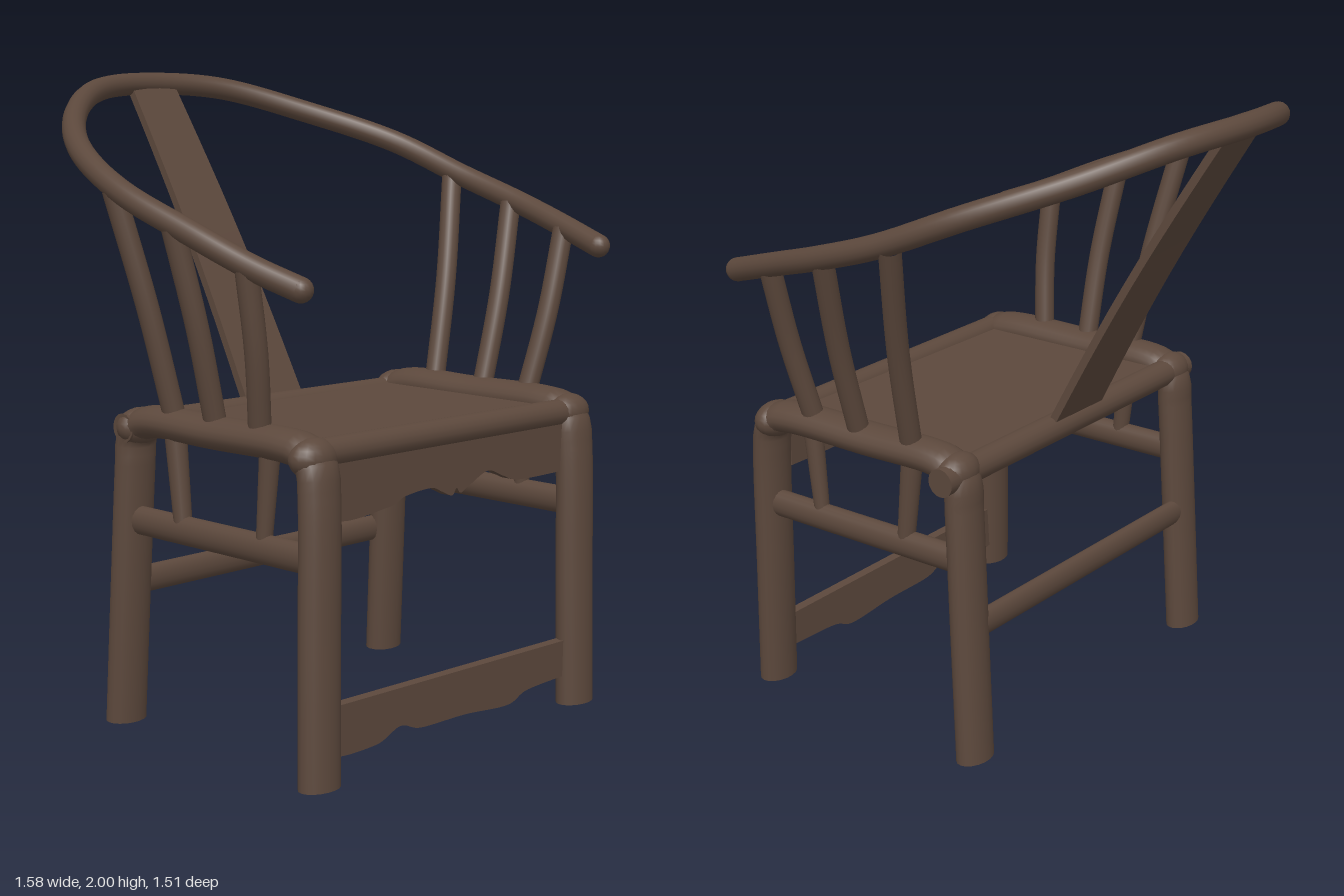
import * as THREE from 'three';

const V = (p) => new THREE.Vector3(...p);

export function createModel() {
  const chair = new THREE.Group();
  chair.name = 'horseshoeArmchair';
  const wood = new THREE.MeshStandardMaterial({ color: 0x5c483c });
  wood.name = 'darkWood';

  const add = (name, geo, parent = chair) => {
    const m = new THREE.Mesh(geo, wood);
    m.name = name;
    parent.add(m);
    return m;
  };
  const curve = (pts) => new THREE.CatmullRomCurve3(pts.map(V), false, 'centripetal');

  // Straight round bar between two points, optionally tapered
  const bar = (name, a, b, r, r2 = r) => {
    const d = V(b).sub(V(a));
    const m = add(name, new THREE.CylinderGeometry(r2, r, d.length(), 16));
    m.position.copy(V(a)).addScaledVector(d, 0.5);
    m.quaternion.setFromUnitVectors(new THREE.Vector3(0, 1, 0), d.normalize());
    return m;
  };

  // Bent side frames: front leg, seat side rail and back leg in one sweep
  const R = 0.05, WIDE = 1.42;
  const frame = (name, cx, xFront, xBack) => {
    const g = new THREE.Group();
    g.name = name;
    g.position.x = cx;
    g.scale.x = WIDE;
    chair.add(g);
    const f = (xFront - cx) / WIDE, b = (xBack - cx) / WIDE;
    const path = [
      [f, 0, 0.705], [f * 0.6, 0.4, 0.69], [f * 0.1, 0.83, 0.672], [0, 0.905, 0.66], [0, 0.945, 0.625],
      [0, 0.957, 0.56], [0, 0.957, 0.25], [0, 0.957, -0.03], [0, 0.94, -0.085], [0, 0.9, -0.118],
      [b * 0.1, 0.82, -0.125], [b * 0.6, 0.4, -0.15], [b, 0, -0.173],
    ];
    add('legsAndRail', new THREE.TubeGeometry(curve(path), 90, R, 18), g);
    for (const p of [path[0], path[path.length - 1]]) {
      const foot = add('footCap', new THREE.CircleGeometry(R, 18), g);
      foot.rotation.x = Math.PI / 2;
      foot.position.set(p[0], 0.001, p[2]);
    }
    // Thicker upper corners
    for (const z of [0.643, -0.1]) {
      const knee = add('cornerKnuckle', new THREE.SphereGeometry(0.058, 18, 12), g);
      knee.position.set(0, 0.935, z);
    }
  };
  frame('rightSideFrame', -0.59, -0.625, -0.6);
  frame('leftSideFrame', 0.555, 0.54, 0.58);

  // Seat panel with front and back rails
  const seat = add('seatPanel', new THREE.BoxGeometry(1.06, 0.035, 0.74));
  seat.position.set(-0.015, 0.94, 0.265);
  bar('frontSeatRail', [-0.62, 0.945, 0.645], [0.6, 0.935, 0.645], 0.043);
  bar('backSeatRail', [-0.655, 0.935, -0.105], [0.645, 0.925, -0.105], 0.045);
  for (const x of [-0.4, 0.37]) {
    const batten = add('seatBatten', new THREE.BoxGeometry(0.05, 0.04, 0.7));
    batten.position.set(x, 0.905, 0.27);
  }

  // Shaped boards between the front legs
  const board = (name, pts, z, depth) => {
    const s = new THREE.Shape(pts.slice(0, 2).map((p) => new THREE.Vector2(...p)));
    s.splineThru(pts.slice(2).map((p) => new THREE.Vector2(...p)));
    const geo = new THREE.ExtrudeGeometry(s, { depth, bevelEnabled: false, curveSegments: 40 });
    geo.translate(0, 0, z);
    add(name, geo);
  };
  board('frontApron', [
    [0.5, 0.94], [-0.54, 0.95], [-0.54, 0.76], [-0.32, 0.757], [-0.24, 0.78], [-0.13, 0.788],
    [-0.08, 0.77], [-0.035, 0.752], [-0.015, 0.772], [0.005, 0.755], [0.05, 0.775], [0.13, 0.805],
    [0.2, 0.78], [0.28, 0.757], [0.5, 0.755],
  ], 0.64, 0.035);
  board('footBoard', [
    [0.52, 0.21], [-0.6, 0.225], [-0.6, 0.09], [-0.4, 0.072], [-0.29, 0.105], [-0.2, 0.08],
    [0, 0.075], [0.2, 0.06], [0.3, 0.088], [0.52, 0.095],
  ], 0.672, 0.035);

  // Stretchers
  const backStretcher = bar('backStretcher', [-0.6, 0.437, -0.16], [0.57, 0.437, -0.16], 0.044);
  backStretcher.scale.z = 0.6;
  for (const [side, x] of [['right', -0.6], ['left', 0.56]]) {
    bar(side + 'Stretcher', [x, 0.645, 0.68], [x, 0.645, -0.13], 0.045).scale.x = 0.75;
    // Short struts from stretcher to seat rail
    bar(side + 'FrontStrut', [x, 0.66, 0.455], [x, 0.93, 0.48], 0.024, 0.031);
    bar(side + 'BackStrut', [x, 0.66, 0.105], [x, 0.93, 0.075], 0.028, 0.034);
  }

  // Sweeping horseshoe arm rail
  const armPts = [
    [-0.615, 1.405, 0.62], [-0.665, 1.46, 0.48], [-0.72, 1.55, 0.28], [-0.75, 1.655, 0.02], [-0.69, 1.765, -0.24],
    [-0.51, 1.87, -0.49], [-0.27, 1.945, -0.665], [0, 1.963, -0.715],
    [0.27, 1.945, -0.66], [0.51, 1.865, -0.49], [0.69, 1.765, -0.24], [0.75, 1.655, 0.02],
    [0.752, 1.58, 0.25], [0.72, 1.52, 0.45], [0.675, 1.455, 0.66],
  ];
  add('armRail', new THREE.TubeGeometry(curve(armPts), 120, 0.037, 16));
  for (const p of [armPts[0], armPts[armPts.length - 1]]) {
    add('armTip', new THREE.SphereGeometry(0.037, 16, 12)).position.set(...p);
  }

  // Gently bowed posts carrying the arms: base point, top point
  const posts = {
    rightFrontPost: [[-0.595, 0.97, 0.435], [-0.67, 1.46, 0.46]],
    rightMiddlePost: [[-0.595, 0.97, 0.25], [-0.73, 1.56, 0.22]],
    rightBackPost: [[-0.595, 0.97, 0.07], [-0.745, 1.66, -0.025]],
    leftFrontPost: [[0.565, 0.97, 0.465], [0.705, 1.5, 0.495]],
    leftMiddlePost: [[0.57, 0.97, 0.275], [0.745, 1.57, 0.24]],
    leftBackPost: [[0.565, 0.97, 0.07], [0.745, 1.65, -0.02]],
  };
  for (const [name, [a, b]] of Object.entries(posts)) {
    const mid = a.map((v, i) => (v + b[i]) / 2);
    mid[2] += 0.012;
    add(name, new THREE.TubeGeometry(curve([a, mid, b]), 20, 0.034, 14));
  }

  // Leaning, tapered back splat with a slight curve
  const splat = new THREE.BoxGeometry(1, 1, 0.026, 1, 12, 1);
  const pos = splat.attributes.position;
  for (let i = 0; i < pos.count; i++) {
    const t = pos.getY(i) + 0.5;
    const half = THREE.MathUtils.lerp(0.124, 0.095, t);
    const cx = THREE.MathUtils.lerp(-0.015, -0.02, t);
    const thick = pos.getZ(i);
    pos.setXYZ(i, cx + pos.getX(i) * 2 * half,
      0.95 + 0.995 * t + thick * 0.51,
      -0.115 - 0.58 * t + 0.02 * Math.sin(Math.PI * t) + thick * 0.86);
  }
  splat.computeVertexNormals();
  add('backSplat', splat);

  return chair;
}
